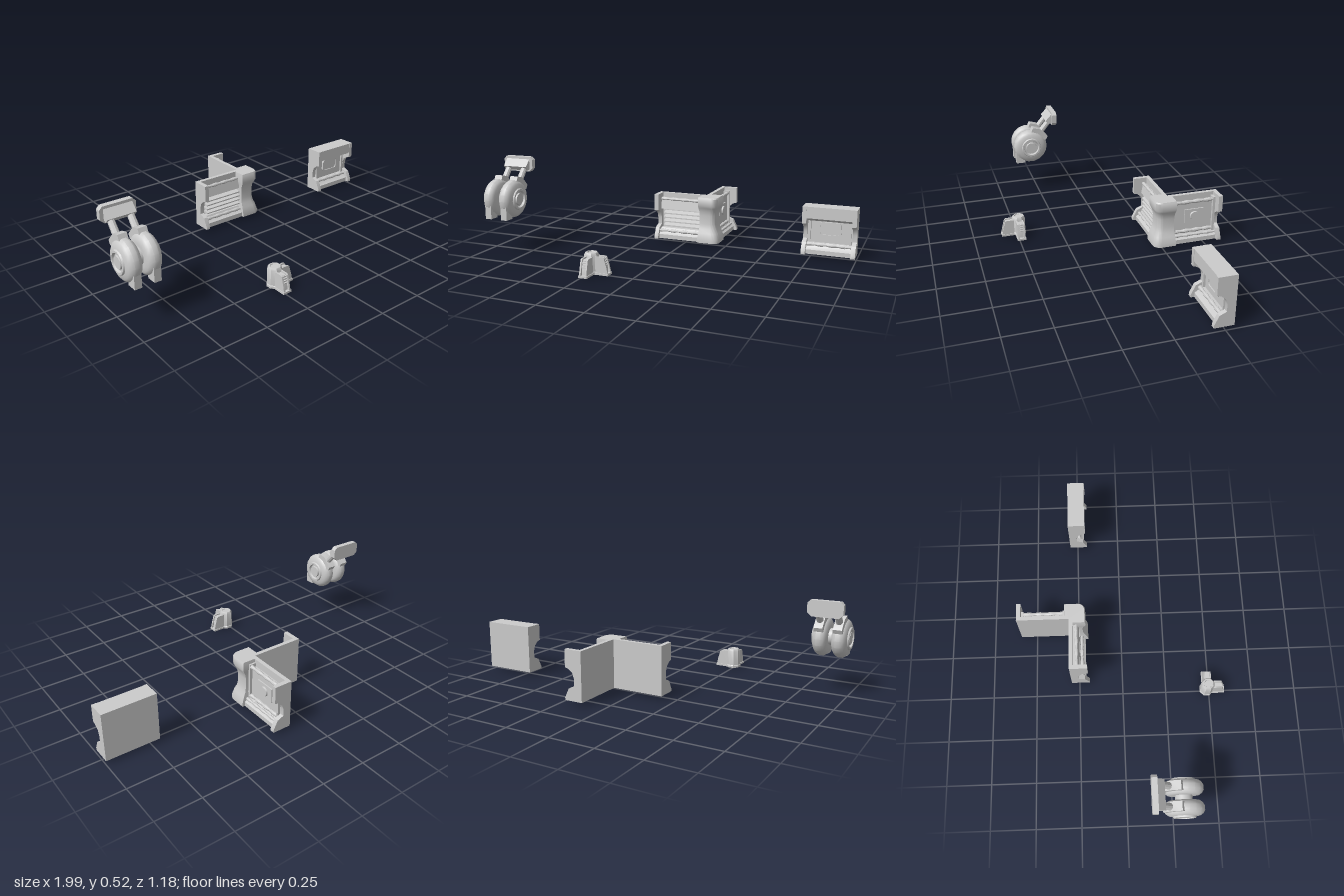
import * as THREE from 'three';
import { toCreasedNormals } from 'three/addons/utils/BufferGeometryUtils.js';

const mat = new THREE.MeshStandardMaterial({ color: 0xcccccc });

function add(parent, name, geo, x = 0, y = 0, z = 0) {
  const m = new THREE.Mesh(toCreasedNormals(geo, 0.6), mat);
  m.name = name;
  m.position.set(x, y, z);
  parent.add(m);
  return m;
}

function group(parent, name, x = 0, y = 0, z = 0, turn = 0) {
  const g = new THREE.Group();
  g.name = name;
  g.position.set(x, y, z);
  g.rotation.y = turn;
  parent.add(g);
  return g;
}

// Box given by its min and max corners
function box(parent, name, [x0, y0, z0], [x1, y1, z1]) {
  return add(parent, name, new THREE.BoxGeometry(x1 - x0, y1 - y0, z1 - z0),
    (x0 + x1) / 2, (y0 + y1) / 2, (z0 + z1) / 2);
}

const shapeOf = pts => new THREE.Shape(pts.map(p => new THREE.Vector2(...p)));

// [z, y] profile swept from x0 to x1
function sweepX(parent, name, pts, x0, x1) {
  const g = new THREE.ExtrudeGeometry(shapeOf(pts), { depth: x1 - x0, bevelEnabled: false });
  g.rotateY(-Math.PI / 2).translate(x1, 0, 0);
  return add(parent, name, g);
}

// [radius, offset] profile turned about the x axis
function latheX(parent, name, pts, x, y, z, sides = 20) {
  const g = new THREE.LatheGeometry(pts.map(p => new THREE.Vector2(...p)), sides);
  g.rotateZ(-Math.PI / 2);
  return add(parent, name, g, x, y, z);
}

// Pipe with slightly swollen sections
function pipe(parent, x0, x1, y, z, r) {
  const pts = [[0, x0]];
  const n = 18;
  for (let i = 0; i <= n; i++) pts.push([r * (1 + 0.2 * Math.sin(i * 1.4)), x0 + (x1 - x0) * i / n]);
  pts.push([0, x1]);
  latheX(parent, 'pipe', pts, 0, y, z, 10);
}

function roundedRect(w, h, r) {
  const s = new THREE.Shape();
  const a = w / 2 - r, b = h / 2 - r;
  s.absarc(a, b, r, 0, Math.PI / 2);
  s.absarc(-a, b, r, Math.PI / 2, Math.PI);
  s.absarc(-a, -b, r, Math.PI, Math.PI * 1.5);
  s.absarc(a, -b, r, Math.PI * 1.5, Math.PI * 2);
  return s;
}

const RIB = [[0, 0.02], [0.104, 0.02], [0.104, 0.035], [0.08, 0.085], [0.045, 0.1],
  [0.045, 0.14], [0.055, 0.17], [0.08, 0.19], [0.1, 0.195], [0.1, 0.29], [0, 0.29]];

// Wall section: back at z = 0, front at z = 0.1
function wall(parent, name, L, ribs, x, z, turn = 0) {
  const g = group(parent, name, x, 0, z, turn);
  box(g, 'backPlate', [0, 0.02, 0], [L, 0.29, 0.022]);
  sweepX(g, 'sill', [[0, 0.02], [0.085, 0.02], [0.085, 0.045], [0.06, 0.06], [0.05, 0.08], [0, 0.08]], 0.005, L - 0.005);
  for (const r of ribs) sweepX(g, 'endRib', RIB, r, r + 0.024);
  return g;
}

function cornerWall(parent) {
  const g = group(parent, 'cornerWall');
  // Front wing with a slatted grille
  const f = wall(g, 'grilleWing', 0.295, [0], -0.18, -0.295);
  sweepX(f, 'upperHood', [[0.02, 0.195], [0.055, 0.195], [0.045, 0.25], [0.02, 0.25]], 0.024, 0.275);
  for (const y of [0.09, 0.115, 0.14, 0.165]) {
    sweepX(f, 'slat', [[0.02, y], [0.055, y], [0.055, y + 0.007], [0.02, y + 0.018]], 0.04, 0.275);
  }
  pipe(f, 0.024, 0.29, 0.256, 0.042, 0.009);
  pipe(f, 0.024, 0.29, 0.066, 0.065, 0.009);
  // Side wing with a service plate
  const s = wall(g, 'plateWing', 0.295, [0.271], 0.115, -0.295, Math.PI / 2);
  box(s, 'innerPanel', [0.025, 0.08, 0.02], [0.275, 0.25, 0.045]);
  box(s, 'servicePlate', [0.09, 0.13, 0.04], [0.205, 0.21, 0.052]);
  const knob = add(s, 'knob', new THREE.CylinderGeometry(0.025, 0.027, 0.01, 20), 0.148, 0.17, 0.056);
  knob.rotation.x = Math.PI / 2;
  pipe(s, 0.02, 0.275, 0.256, 0.048, 0.01);
  pipe(s, 0.02, 0.275, 0.078, 0.05, 0.01);
  pipe(s, 0.02, 0.275, 0.06, 0.068, 0.008);
  for (const x of [0.02, 0.255]) box(s, 'upright', [x, 0.06, 0.02], [x + 0.014, 0.27, 0.06]);

  // Corner post: rounded footprint narrowed at the waist, drawn from the inner corner
  const foot = new THREE.Shape();
  foot.moveTo(-0.025, 0);
  foot.lineTo(-0.025, -0.1);
  foot.lineTo(0.06, -0.1);
  foot.quadraticCurveTo(0.096, -0.096, 0.1, -0.06);
  foot.lineTo(0.1, 0.025);
  foot.lineTo(0, 0.025);
  foot.lineTo(0, 0);
  const levels = [[0.02, 1], [0.04, 1], [0.075, 0.9], [0.1, 0.79], [0.13, 0.74], [0.18, 0.74],
    [0.205, 0.78], [0.225, 0.87], [0.24, 0.94], [0.283, 0.94], [0.29, 0.9]];
  const n = levels.length - 1;
  const geo = new THREE.ExtrudeGeometry(foot, { depth: 1, steps: n, bevelEnabled: false, curveSegments: 8 });
  const p = geo.attributes.position;
  for (let i = 0; i < p.count; i++) {
    const [y, k] = levels[Math.round(p.getZ(i) * n)];
    p.setXYZ(i, p.getX(i) * k, p.getY(i) * k, y);
  }
  geo.rotateX(-Math.PI / 2);
  add(g, 'cornerPost', geo, 0.115, 0, -0.295);
}

function straightWall(parent) {
  const g = wall(parent, 'straightWall', 0.295, [0, 0.271], 0.703, -0.295);
  sweepX(g, 'topBlock', [[0, 0.215], [0.055, 0.205], [0.08, 0.22], [0.098, 0.225], [0.098, 0.29], [0, 0.29]], 0.01, 0.285);
  box(g, 'innerPanel', [0.02, 0.08, 0.02], [0.275, 0.22, 0.038]);
  const ring = roundedRect(0.122, 0.08, 0.022);
  ring.holes.push(roundedRect(0.106, 0.064, 0.016));
  add(g, 'windowFrame', new THREE.ExtrudeGeometry(ring, { depth: 0.014, bevelEnabled: false }), 0.148, 0.16, 0.036);
  add(g, 'windowPane', new THREE.ExtrudeGeometry(roundedRect(0.106, 0.064, 0.016), { depth: 0.008, bevelEnabled: false }), 0.148, 0.16, 0.036);
  pipe(g, 0.02, 0.275, 0.072, 0.058, 0.01);
  for (const x of [0.03, 0.253]) box(g, 'upright', [x, 0.07, 0.02], [x + 0.012, 0.23, 0.05]);
}

function cornerBollard(parent) {
  const g = group(parent, 'cornerBollard', -0.238, 0, 0.487);
  const pts = [[0, 0], [0.042, 0], [0.042, 0.012], [0.039, 0.016], [0.039, 0.1], [0.032, 0.112],
    [0.024, 0.112], [0.022, 0.107], [0, 0.107]].map(p => new THREE.Vector2(...p));
  add(g, 'post', new THREE.LatheGeometry(pts, 8, Math.PI / 8));
  // Two ribbed fins at right angles
  for (const turn of [0, Math.PI / 2]) {
    const f = group(g, 'fin', 0, 0, 0, turn);
    const side = [[0.02, 0], [0.1, 0], [0.1, 0.012], [0.093, 0.045], [0.08, 0.09], [0.072, 0.095], [0.02, 0.095]];
    for (const x of [-0.021, 0.012]) sweepX(f, 'cheek', side, x, x + 0.009);
    sweepX(f, 'core', [[0.02, 0], [0.088, 0], [0.085, 0.04], [0.07, 0.088], [0.02, 0.088]], -0.013, 0.013);
    for (let i = 0; i < 4; i++) {
      const y = 0.048 + i * 0.011, z = 0.088 - i * 0.0035;
      box(f, 'slat', [-0.013, y, 0.05], [0.013, y + 0.005, z]);
    }
    box(f, 'footLip', [-0.025, 0, 0.03], [0.025, 0.011, 0.103]);
  }
}

function wheelUnit(parent) {
  const g = group(parent, 'wheelUnit', -0.895, 0, 0);
  const cy = 0.305, cz = 0.287;
  const wheel = [[0, -0.038], [0.06, -0.038], [0.084, -0.036], [0.097, -0.026], [0.106, -0.012], [0.106, 0.012],
    [0.097, 0.026], [0.084, 0.036], [0.062, 0.04], [0.058, 0.048], [0.048, 0.048], [0.044, 0.036],
    [0.034, 0.036], [0.032, 0.046], [0, 0.046]];
  latheX(g, 'axle', [[0, -0.04], [0.045, -0.04], [0.045, 0.04], [0, 0.04]], 0, cy, cz);
  for (const s of [-1, 1]) {
    const side = group(g, 'wheelAssembly', s * 0.051, 0, 0);
    const w = latheX(side, 'wheel', wheel, 0, cy, cz, 18);
    if (s < 0) w.rotation.y = Math.PI;
    // Stop block under the front and fender over the rear
    sweepX(side, 'stopBlock', [[0.328, 0.198], [0.385, 0.198], [0.385, 0.275], [0.328, 0.275]], -0.019, 0.019);
    sweepX(side, 'fender', [[0.282, 0.4], [0.268, 0.43], [0.222, 0.418], [0.175, 0.367], [0.186, 0.345], [0.25, 0.35]], -0.024, 0.024);
    // Slanted strut to the mounting plate
    const a = new THREE.Vector3(0, 0.385, 0.225), b = new THREE.Vector3(0, 0.487, 0.14);
    const rod = add(side, 'strut', new THREE.CylinderGeometry(0.017, 0.019, a.distanceTo(b), 10));
    rod.position.copy(a).lerp(b, 0.5);
    rod.quaternion.setFromUnitVectors(new THREE.Vector3(0, 1, 0), b.clone().sub(a).normalize());
  }
  // Chamfered mounting plate with its sloping bracket
  const plate = [[-0.072, 0.438], [0.072, 0.438], [0.094, 0.458], [0.094, 0.508], [0.078, 0.524],
    [-0.078, 0.524], [-0.094, 0.508], [-0.094, 0.458]];
  add(g, 'mountingPlate', new THREE.ExtrudeGeometry(shapeOf(plate), { depth: 0.03, bevelEnabled: false }), 0, 0, 0.116);
  sweepX(g, 'bracket', [[0.14, 0.455], [0.165, 0.448], [0.184, 0.47], [0.146, 0.51], [0.14, 0.51]], -0.075, 0.075);
}

export function createModel() {
  const model = new THREE.Group();
  model.name = 'modularKit';
  wheelUnit(model);
  cornerBollard(model);
  cornerWall(model);
  straightWall(model);
  return model;
}
